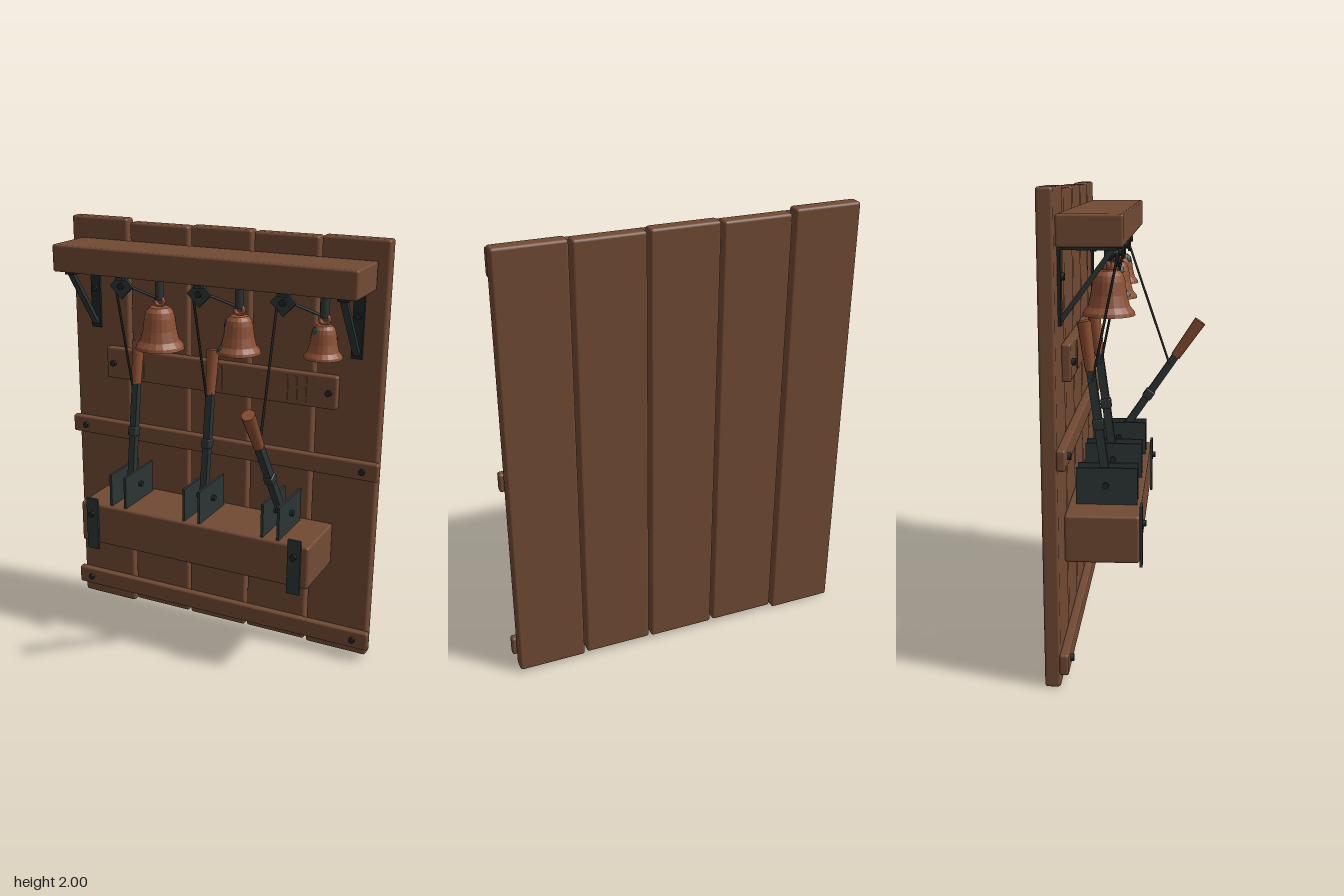
import * as THREE from 'three';
import { toCreasedNormals } from 'three/addons/utils/BufferGeometryUtils.js';
import { RoundedBoxGeometry } from 'three/addons/geometries/RoundedBoxGeometry.js';

const mat = (name, color, side = THREE.FrontSide) => {
  const m = new THREE.MeshStandardMaterial({ color, side });
  m.name = name;
  return m;
};

export function createModel() {
  const model = new THREE.Group();
  model.name = 'bellLeverBoard';
  const wood = mat('wood', 0x714a34);
  const iron = mat('iron', 0x2c3534);
  const darkIron = mat('darkIron', 0x1f2626);
  const copper = mat('copper', 0x8c5034, THREE.DoubleSide);
  const handleWood = mat('handleWood', 0x8a4e31);
  const verdigris = mat('verdigris', 0x2f5550);

  const add = (name, geo, material, parent = model) => {
    const m = new THREE.Mesh(geo, material);
    m.name = name;
    parent.add(m);
    return m;
  };
  // box given by its min and max on each axis; bevel > 0 softens the edges
  const box = (name, [x0, x1], [y0, y1], [z0, z1], material, bevel = 0, parent = model) => {
    const s = [x1 - x0, y1 - y0, z1 - z0];
    const g = bevel ? new RoundedBoxGeometry(...s, 2, bevel) : new THREE.BoxGeometry(...s);
    const m = add(name, g, material, parent);
    m.position.set((x0 + x1) / 2, (y0 + y1) / 2, (z0 + z1) / 2);
    return m;
  };
  // straight round rod between two points
  const rod = (name, a, b, r, material, sides = 8) => {
    const p = new THREE.Vector3(...a), q = new THREE.Vector3(...b);
    const d = q.clone().sub(p);
    const m = add(name, new THREE.CylinderGeometry(r, r, d.length(), sides), material);
    m.position.copy(p).add(q).multiplyScalar(0.5);
    m.quaternion.setFromUnitVectors(new THREE.Vector3(0, 1, 0), d.normalize());
    return m;
  };
  const bolt = (x, y, z) => rod('bolt', [x, y, z - 0.005], [x, y, z + 0.014], 0.015, darkIron, 10);

  // back planks
  [[-0.79, -0.487, 0, 2], [-0.472, -0.165, 0.02, 1.985], [-0.153, 0.15, 0.018, 1.99],
    [0.162, 0.468, 0.022, 1.985], [0.48, 0.785, 0.015, 1.99]].forEach(([x0, x1, y0, y1]) =>
    box('plank', [x0, x1], [y0, y1], [-0.32, -0.255], wood, 0.012));

  // cross battens
  [[0.06, 0.15], [0.92, 1.006]].forEach((y) => {
    box('batten', [-0.805, 0.802], y, [-0.258, -0.22], wood, 0.01);
    for (const s of [-1, 1]) bolt(s * 0.728, (y[0] + y[1]) / 2, -0.22);
  });

  // tally board with one, two and three raised strokes
  box('tallyBoard', [-0.595, 0.592], [1.23, 1.385], [-0.258, -0.218], wood, 0.01);
  for (const s of [-1, 1]) bolt(s * 0.555, 1.307, -0.218);

  // top shelf and its iron brackets
  box('shelf', [-0.737, 0.735], [1.775, 1.9], [-0.256, 0.002], wood, 0.01);
  for (const s of [-1, 1]) {
    const x = s * 0.664;
    box('bracketPlate', [x - 0.025, x + 0.025], [1.47, 1.776], [-0.256, -0.243], darkIron);
    box('bracketArm', [x - 0.025, x + 0.025], [1.762, 1.776], [-0.256, -0.025], darkIron);
    const strut = add('bracketStrut', new THREE.BoxGeometry(0.03, 0.34, 0.02), iron);
    strut.position.set(x, 1.628, -0.145);
    strut.rotation.x = Math.atan2(0.2, 0.27);
    bolt(x, 1.66, -0.243);
  }

  // lower lever box with end straps
  box('leverBox', [-0.595, 0.592], [0.465, 0.67], [-0.256, 0.055], wood, 0.012);
  for (const s of [-1, 1]) {
    const x = s * 0.527;
    box('strap', [x - 0.031, x + 0.031], [0.435, 0.7], [0.054, 0.066], iron);
    bolt(x, 0.62, 0.066);
  }

  // one lever, pull wire, crank and bell per station
  const pivotY = 0.755, pivotZ = -0.095;
  const stations = [
    { x: -0.395, tilt: -0.13, bellX: -0.228, bottom: 1.45, r: 0.114, spots: [] },
    { x: 0, tilt: -0.13, bellX: 0.17, bottom: 1.475, r: 0.1, spots: [[-0.85, 0.15], [-1.1, 0.78]] },
    { x: 0.397, tilt: 0.6, bellX: 0.565, bottom: 1.5, r: 0.085, spots: [[-0.6, 0.85], [2.3, 0.6]] },
  ];
  stations.forEach(({ x, tilt, bellX, bottom, r, spots }, i) => {
    // tally strokes
    for (let k = 0; k <= i; k++) {
      const tx = x + (k - i / 2) * 0.045;
      box('tallyStroke', [tx - 0.008, tx + 0.008], [1.25, 1.367], [-0.22, -0.213], wood);
    }
    // side plates and axle
    for (const s of [-1, 1]) {
      const px = x + s * 0.039;
      box('pivotPlate', [px - 0.006, px + 0.006], [0.665, 0.83], [-0.222, 0.038], iron);
    }
    rod('axle', [x - 0.06, pivotY, pivotZ], [x + 0.06, pivotY, pivotZ], 0.014, darkIron, 10);

    // lever
    const lever = new THREE.Group();
    lever.name = 'lever';
    lever.position.set(x, pivotY, pivotZ);
    lever.rotation.x = tilt;
    model.add(lever);
    box('leverBar', [-0.016, 0.016], [-0.055, 0.5], [-0.018, 0.018], iron, 0, lever);
    box('leverCollar', [-0.022, 0.022], [0.235, 0.28], [-0.024, 0.024], iron, 0.006, lever);
    add('handle', toCreasedNormals(new THREE.CylinderGeometry(0.03, 0.024, 0.21, 12), 0.7), handleWood, lever)
      .position.y = 0.595;

    // bell crank under the shelf
    const crankY = 1.73, crankZ = -0.045;
    const crank = add('bellCrank', new THREE.BoxGeometry(0.084, 0.084, 0.014), iron);
    crank.position.set(x, crankY, crankZ);
    crank.rotation.z = Math.PI / 4;
    box('crankMount', [x - 0.02, x + 0.02], [1.758, 1.776], [-0.075, -0.02], iron);
    bolt(x, crankY, crankZ + 0.004);

    // wires from lever to crank and crank to bell
    const along = 0.44;
    rod('pullWire', [x - 0.012, pivotY + along * Math.cos(tilt), pivotZ + along * Math.sin(tilt)],
      [x - 0.03, 1.71, crankZ], 0.0055, darkIron, 6);
    rod('bellWire', [x + 0.045, crankY, crankZ], [bellX - 0.01, 1.68, -0.095], 0.0065, darkIron, 6);

    // bell
    const h = 1.645 - bottom;
    const profile = [[1, 0], [0.97, 0.08], [0.8, 0.2], [0.69, 0.45], [0.62, 0.75], [0.56, 0.88], [0.4, 0.98], [0.001, 1]];
    const bell = new THREE.Group();
    bell.name = 'bell';
    bell.position.set(bellX, bottom, -0.095);
    model.add(bell);
    const shell = new THREE.LatheGeometry(profile.map(([a, b]) => new THREE.Vector2(a * r, b * h)), 20);
    add('bellShell', toCreasedNormals(shell, 0.1), copper, bell);
    const crown = add('bellCrown', new THREE.TorusGeometry(0.02, 0.01, 8, 14), copper, bell);
    crown.position.y = h + 0.022;
    add('clapper', new THREE.SphereGeometry(r * 0.2, 10, 8), darkIron, bell).position.y = 0.02;
    rod('bellHanger', [bellX, 1.675, -0.095], [bellX, 1.777, -0.095], 0.02, iron, 10);

    // weathered spots lying on the bell wall
    spots.forEach(([angle, t]) => {
      const k = profile.findIndex(([, b]) => b > t);
      const [a0, b0] = profile[k - 1], [a1, b1] = profile[k];
      const rad = r * (a0 + (a1 - a0) * (t - b0) / (b1 - b0));
      const spot = add('verdigrisSpot', new THREE.SphereGeometry(0.017, 8, 6), verdigris, bell);
      spot.scale.z = 0.28;
      spot.position.set(Math.sin(angle) * rad, t * h, Math.cos(angle) * rad);
      spot.rotation.set(-Math.atan2(r * (a0 - a1), h * (b1 - b0)), angle, 0, 'YXZ');
    });
  });
  return model;
}
